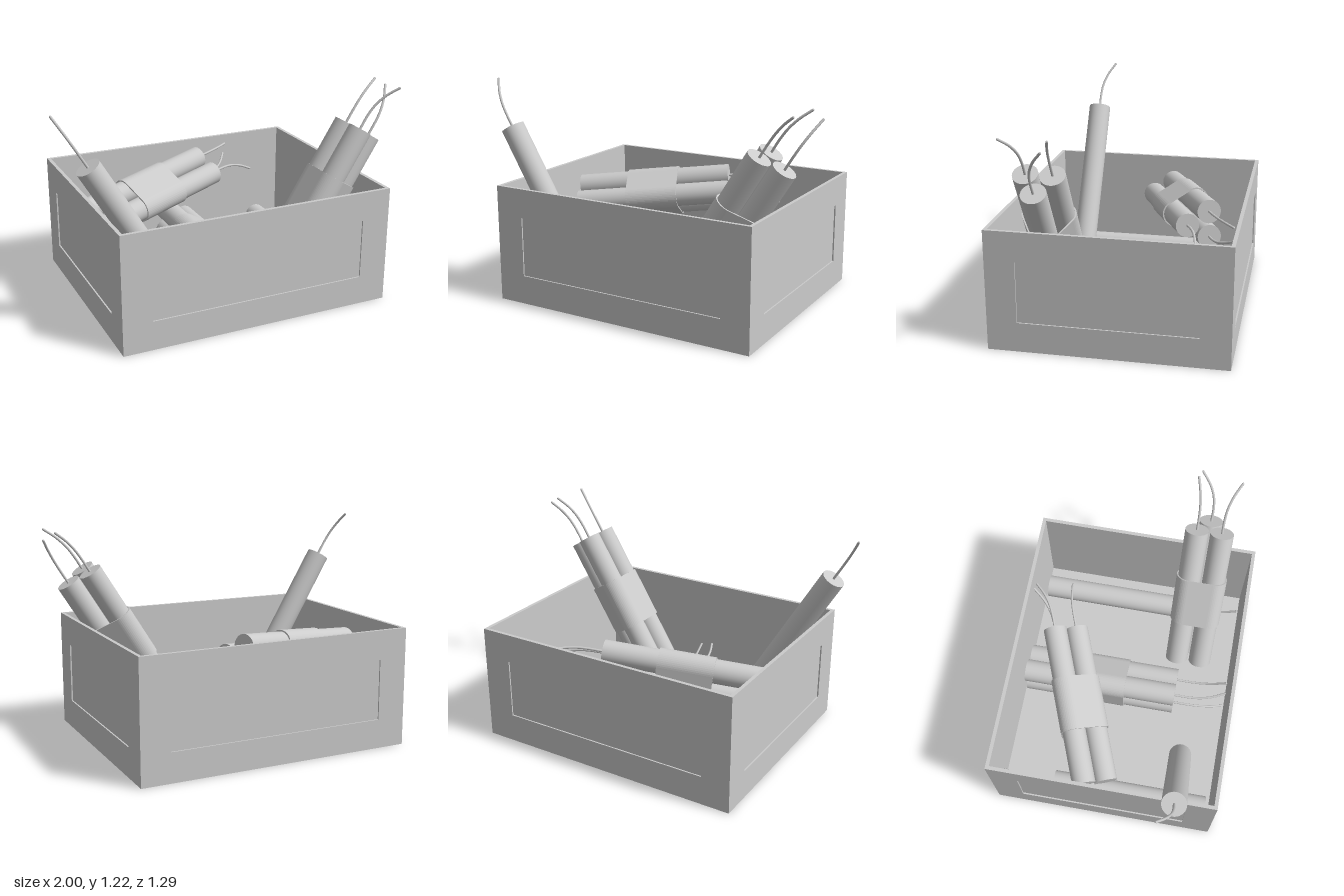
import * as THREE from 'three';

const GREY = new THREE.MeshStandardMaterial({ color: 0xcccccc });
const R = 0.067, LEN = 0.92, RING = 0.083;
const W = 1.575, H = 0.67, D = 1.29, CX = 0.0125;

function add(parent, name, geometry, x = 0, y = 0, z = 0) {
  const m = new THREE.Mesh(geometry, GREY);
  m.name = name;
  m.position.set(x, y, z);
  parent.add(m);
  return m;
}

// Wall centred on x, outer face at z = 0, with a recessed panel
function wall(name, width) {
  const g = new THREE.Group();
  g.name = name;
  const inset = 0.165, w = width / 2, hole = new THREE.Path();
  const frame = new THREE.Shape();
  frame.moveTo(-w, 0).lineTo(w, 0).lineTo(w, H).lineTo(-w, H).closePath();
  hole.moveTo(-w + inset, inset).lineTo(-w + inset, H - inset)
    .lineTo(w - inset, H - inset).lineTo(w - inset, inset).closePath();
  frame.holes.push(hole);
  add(g, name + 'Frame', new THREE.ExtrudeGeometry(frame, { depth: 0.008, bevelEnabled: false }), 0, 0, -0.008);
  add(g, name + 'Panel', new THREE.BoxGeometry(width - 0.016, H, 0.012), 0, H / 2, -0.014);
  return g;
}

function crate() {
  const g = new THREE.Group();
  g.name = 'crate';
  for (let i = 0; i < 4; i++) {
    const side = i % 2 === 1;
    const w = wall(['frontWall', 'leftWall', 'backWall', 'rightWall'][i], side ? D : W);
    const a = i * Math.PI / 2, d = (side ? W : D) / 2;
    w.rotation.y = a;
    w.position.set(Math.sin(a) * d, 0, Math.cos(a) * d);
    g.add(w);
  }
  add(g, 'floor', new THREE.BoxGeometry(W - 0.004, 0.02, D - 0.004), 0, 0.01, 0);
  g.position.x = CX;
  return g;
}

// Stick standing on its local origin; its fuse bends by (bx, bz) at the tip
function stick(bx, bz) {
  const g = new THREE.Group();
  g.name = 'stick';
  add(g, 'stickBody', new THREE.CylinderGeometry(R, R, LEN, 32), 0, LEN / 2, 0);
  const path = new THREE.CatmullRomCurve3(
    [[0, -0.01], [0, 0.09], [0.12, 0.16], [0.45, 0.23], [1, 0.3]].map(
      ([k, y]) => new THREE.Vector3(bx * k, LEN + y, bz * k)));
  add(g, 'fuse', new THREE.TubeGeometry(path, 20, 0.007, 8));
  const tip = path.getPoint(1);
  add(g, 'fuseTip', new THREE.SphereGeometry(0.007, 8, 6), tip.x, tip.y, tip.z);
  return g;
}

// Rounded triangle around the three sticks
function outline(path, r) {
  for (let i = 0; i < 3; i++) {
    const a = i * Math.PI * 2 / 3;
    path.absarc(RING * Math.cos(a), RING * Math.sin(a), r, a - Math.PI / 3, a + Math.PI / 3, false);
  }
  path.closePath();
  return path;
}

function bundle() {
  const g = new THREE.Group();
  g.name = 'stickBundle';
  const bends = [[0, -0.09], [0.05, 0.065], [0.05, -0.035]];
  bends.forEach(([bx, bz], i) => {
    const s = stick(bx, bz), a = i * Math.PI * 2 / 3;
    s.position.set(RING * Math.cos(a), 0, RING * Math.sin(a));
    g.add(s);
  });
  const shape = outline(new THREE.Shape(), R + 0.009);
  shape.holes.push(outline(new THREE.Path(), R + 0.001));
  const band = new THREE.ExtrudeGeometry(shape, { depth: 0.31, bevelEnabled: false, curveSegments: 8 });
  band.rotateX(-Math.PI / 2);
  add(g, 'band', band, 0, 0.305, 0);
  return g;
}

// Stand an object at base, its y along axis, its x near side, then roll it
function place(obj, base, axis, side, roll = 0) {
  const y = new THREE.Vector3(...axis).normalize();
  const z = new THREE.Vector3(...side).cross(y).normalize();
  const x = new THREE.Vector3().crossVectors(y, z);
  obj.quaternion.setFromRotationMatrix(new THREE.Matrix4().makeBasis(x, y, z));
  obj.rotateY(roll);
  obj.position.set(...base);
  return obj;
}

export function createModel() {
  const model = new THREE.Group();
  model.name = 'crateOfSticks';
  model.add(
    crate(),
    // Loose sticks: two on the floor, one leaning on the right wall
    place(stick(0.08, 0), [-0.65, 0.087, 0.6], [0, 0, -1], [0, 1, 0]),
    place(stick(0.08, 0), [0.62, 0.087, -0.61], [0, 0, 1], [0, 1, 0]),
    place(stick(0.075, 0), [-0.375, 0.165, 0.405], [-0.51, 0.86, 0], [0, 0, -1]),
    // Bundles: leaning, flat on the floor, resting across the top
    place(bundle(), [0.277, 0.156, 0.355], [0.53, 0.85, 0], [0.85, -0.53, 0]),
    place(bundle(), [0.014, 0.163, -0.61], [0, 0, 1], [1, 0, 0]),
    place(bundle(), [-0.705, 0.44, -0.07], [0.845, 0.1, -0.33], [0.36, 0, 0.93], Math.PI * 2 / 3)
  );
  return model;
}
